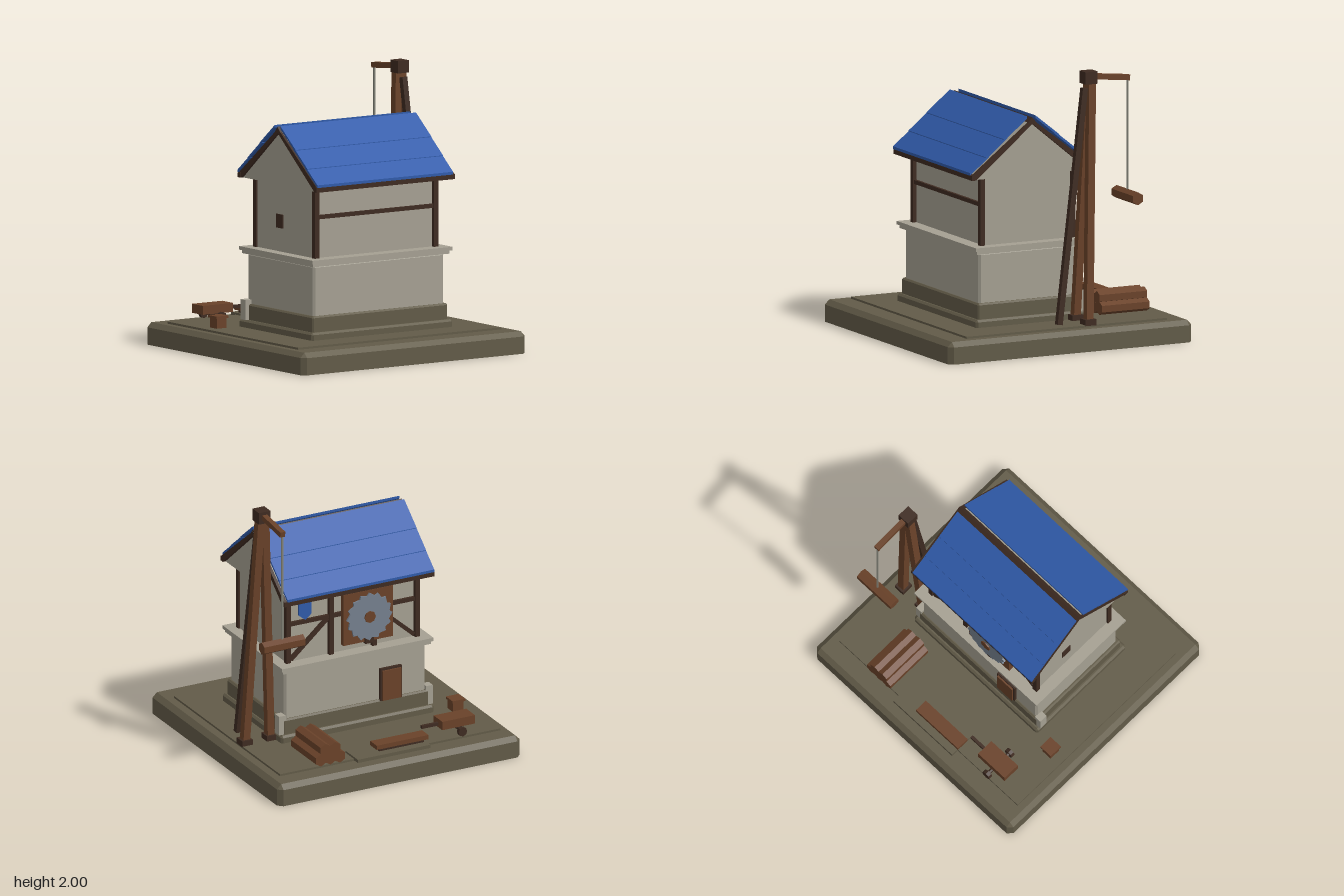
import * as THREE from 'three';
import { ConvexGeometry } from 'three/addons/geometries/ConvexGeometry.js';

const mat = (name, color) => {
  const m = new THREE.MeshStandardMaterial({ color });
  m.name = name;
  return m;
};

export function createModel() {
  const root = new THREE.Group();
  root.name = 'sawmill';
  const earth = mat('earth stone', 0x625b48);
  const plaster = mat('plaster', 0xa5a092);
  const wood = mat('wood', 0x6a4229);
  const dark = mat('dark timber', 0x3e2b21);
  const blue = mat('roof blue', 0x305baa);
  const steel = mat('steel', 0x75808e);
  const rope = mat('rope', 0x85857a);

  const add = (name, geo, m, parent = root) => {
    const mesh = new THREE.Mesh(geo, m);
    mesh.name = name;
    parent.add(mesh);
    return mesh;
  };
  // box given by its extents
  const box = (name, m, x0, x1, y0, y1, z0, z1) => {
    const mesh = add(name, new THREE.BoxGeometry(x1 - x0, y1 - y0, z1 - z0), m);
    mesh.position.set((x0 + x1) / 2, (y0 + y1) / 2, (z0 + z1) / 2);
    return mesh;
  };
  // block with bevelled upright corners and top edge
  const block = (name, m, hx, y0, y1, zc, hz, b) => {
    const pts = [];
    for (const sx of [-1, 1]) for (const sz of [-1, 1]) {
      for (const y of [y0, y1 - b]) {
        pts.push(new THREE.Vector3(sx * hx, y, zc + sz * (hz - b)));
        pts.push(new THREE.Vector3(sx * (hx - b), y, zc + sz * hz));
      }
      pts.push(new THREE.Vector3(sx * (hx - b), y1, zc + sz * (hz - b)));
    }
    return add(name, new ConvexGeometry(pts), m);
  };
  // square bar between two points
  const bar = (name, m, a, b, w, d = w) => {
    const p = new THREE.Vector3(...a), q = new THREE.Vector3(...b);
    const mesh = add(name, new THREE.BoxGeometry(w, p.distanceTo(q), d), m);
    mesh.position.copy(p).add(q).multiplyScalar(0.5);
    mesh.quaternion.setFromUnitVectors(new THREE.Vector3(0, 1, 0), q.sub(p).normalize());
    return mesh;
  };
  // round piece along x, y or z
  const rod = (name, m, r, len, sides, axis, x, y, z) => {
    const g = new THREE.CylinderGeometry(r, r, len, sides).toNonIndexed();
    g.computeVertexNormals();
    if (axis === 'x') g.rotateZ(Math.PI / 2);
    if (axis === 'z') g.rotateX(Math.PI / 2);
    const mesh = add(name, g, m);
    mesh.position.set(x, y, z);
    return mesh;
  };
  // (z, y) outline swept along x
  const sweepX = (name, m, pts, x0, x1) => {
    const s = new THREE.Shape(pts.map(([z, y]) => new THREE.Vector2(z, y)));
    const g = new THREE.ExtrudeGeometry(s, { depth: x1 - x0, bevelEnabled: false });
    g.rotateY(-Math.PI / 2).translate(x1, 0, 0);
    return add(name, g, m);
  };
  const ZC = 0.122;

  // ground
  block('base', earth, 0.985, 0, 0.16, 0, 0.985, 0.035);
  box('groundPlate', earth, -0.9, 0.89, 0.155, 0.175, -0.82, 0.8);
  box('workPad', earth, -0.3, 0.29, 0.165, 0.19, -0.88, -0.69);

  // masonry lower storey
  block('lowerPlinth', earth, 0.62, 0.17, 0.23, ZC, 0.457, 0.015);
  block('upperPlinth', earth, 0.595, 0.23, 0.345, ZC, 0.43, 0.012);
  block('lowerWall', plaster, 0.572, 0.34, 0.71, ZC, 0.412, 0.015);
  box('corniceLower', plaster, -0.6, 0.6, 0.705, 0.732, ZC - 0.442, ZC + 0.442);
  box('corniceUpper', plaster, -0.615, 0.615, 0.73, 0.755, ZC - 0.457, ZC + 0.457);
  for (const s of [-1, 1]) box('cornerStone', plaster, s * 0.597 - 0.027, s * 0.597 + 0.027, 0.23, 0.375, -0.305, -0.24);

  // timbered upper storey
  box('upperWall', plaster, -0.53, 0.53, 0.75, 1.255, ZC - 0.355, ZC + 0.355);
  for (const sx of [-1, 1]) for (const sz of [-1, 1]) {
    const z = ZC + sz * 0.366;
    box('cornerPost', dark, sx * 0.524 - 0.019, sx * 0.524 + 0.019, 0.755, 1.25, z - 0.018, z + 0.018);
  }
  box('frontRail', dark, -0.51, 0.51, 1.037, 1.066, 0.465, 0.498);
  box('backRail', dark, -0.51, 0.51, 1.037, 1.066, -0.256, -0.225);
  for (const s of [-1, 1]) {
    box('backPost', dark, s * 0.175 - 0.018, s * 0.175 + 0.018, 0.755, 1.25, -0.262, -0.23);
    bar('backBrace', dark, [s * 0.5, 0.775, -0.243], [s * 0.2, 1.04, -0.243], 0.03, 0.025);
  }
  box('sideWindow', dark, -0.536, -0.529, 0.925, 1.025, 0.01, 0.095);

  // gables and roof
  sweepX('gables', plaster, [[ZC - 0.455, 1.25], [ZC + 0.455, 1.25], [ZC, 1.632]], -0.58, 0.59);
  for (const s of [-1, 1]) {
    const slope = (pts) => pts.map(([d, y]) => [ZC + s * d, y]);
    const verge = slope([[0.49, 1.25], [0.49, 1.28], [0, 1.658], [0, 1.625], [0.455, 1.25]]);
    sweepX('rightVerge', dark, verge, 0.59, 0.613);
    sweepX('leftVerge', dark, verge, -0.598, -0.58);
    box('eaveBeam', dark, -0.603, 0.613, 1.25, 1.285, ZC + s * 0.472 - 0.018, ZC + s * 0.472 + 0.018);
    const steps = [[0.495, 0.34], [0.37, 0.19], [0.225, 0.035]];
    steps.forEach(([d0, d1], i) => {
      const y = (d) => 1.285 + (0.495 - d) * 0.795 + i * 0.005;
      sweepX('roofPlank', blue, slope([[d0, y(d0)], [d0, y(d0) + 0.02], [d1, y(d1) + 0.02], [d1, y(d1)]]), -0.6, 0.592);
    });
  }
  sweepX('ridgeBeam', dark, [[ZC - 0.032, 1.635], [ZC + 0.032, 1.635], [ZC, 1.672]], -0.6, 0.61);

  // saw sign on the back wall
  box('signBoard', wood, -0.305, 0.1, 0.82, 1.215, -0.3, -0.262);
  const teeth = new THREE.Shape();
  for (let i = 0; i < 16; i++) {
    const a = (i / 16) * Math.PI * 2, b = a + 0.28;
    const p = [Math.cos(a) * 0.185, Math.sin(a) * 0.185], q = [Math.cos(b) * 0.162, Math.sin(b) * 0.162];
    if (i) teeth.lineTo(...p); else teeth.moveTo(...p);
    teeth.lineTo(...q);
  }
  add('sawBlade', new THREE.ExtrudeGeometry(teeth, { depth: 0.014, bevelEnabled: false }), steel)
    .position.set(-0.1, 1.02, -0.328);
  rod('sawHub', wood, 0.045, 0.03, 8, 'z', -0.1, 1.02, -0.322);
  box('sawBracket', dark, -0.14, -0.07, 0.81, 0.86, -0.32, -0.26);

  // hanging shield and door
  const shield = new THREE.Shape([[-0.05, 1.21], [-0.05, 1.11], [0, 1.07], [0.05, 1.11], [0.05, 1.21]]
    .map(([x, y]) => new THREE.Vector2(x, y)));
  add('shield', new THREE.ExtrudeGeometry(shield, { depth: 0.02, bevelEnabled: false }), blue)
    .position.set(0.39, 0, -0.265);
  box('doorFrame', dark, -0.37, -0.195, 0.335, 0.585, -0.312, -0.28);
  box('door', wood, -0.358, -0.207, 0.34, 0.57, -0.325, -0.3);

  // crane tripod
  box('craneHead', dark, 0.698, 0.792, 1.91, 2, -0.312, -0.215);
  for (const s of [-1, 1]) {
    const x = 0.75 + s * 0.1;
    bar('craneLeg', wood, [x, 0.19, -0.207], [0.745 + s * 0.018, 1.92, -0.272], 0.055);
    box('craneFoot', dark, x - 0.042, x + 0.042, 0.17, 0.215, -0.25, -0.16);
  }
  bar('craneBackLeg', dark, [0.797, 0.18, 0.005], [0.75, 1.88, -0.225], 0.042);
  bar('craneArm', wood, [0.745, 1.958, -0.3], [0.745, 1.927, -0.588], 0.04);
  rod('craneRope', rope, 0.009, 0.84, 6, 'y', 0.745, 1.5, -0.577);
  rod('hoistedLog', wood, 0.047, 0.335, 6, 'x', 0.743, 1.067, -0.577).rotation.x = Math.PI / 6;

  // log pile
  [[0.408, 0.222], [0.485, 0.222], [0.562, 0.222], [0.447, 0.295], [0.525, 0.295]].forEach(([x, y]) =>
    rod('pileLog', wood, 0.048, 0.385, 6, 'z', x, y, -0.638));

  // sawn planks
  box('plankSupport', dark, -0.28, 0.08, 0.18, 0.215, -0.815, -0.745);
  box('sawnPlank', wood, -0.31, 0.11, 0.212, 0.245, -0.83, -0.73);

  // hand cart
  box('cartBody', wood, -0.72, -0.455, 0.23, 0.295, -0.77, -0.635);
  rod('cartAxle', dark, 0.014, 0.25, 6, 'z', -0.59, 0.217, -0.7);
  for (const z of [-0.815, -0.585]) rod('cartWheel', dark, 0.035, 0.03, 8, 'z', -0.59, 0.212, z);
  box('cartHandle', dark, -0.46, -0.32, 0.245, 0.268, -0.712, -0.69);

  // crate
  box('crate', wood, -0.822, -0.738, 0.17, 0.25, -0.402, -0.318);
  box('crateLid', wood, -0.832, -0.728, 0.248, 0.265, -0.412, -0.308);

  return root;
}
